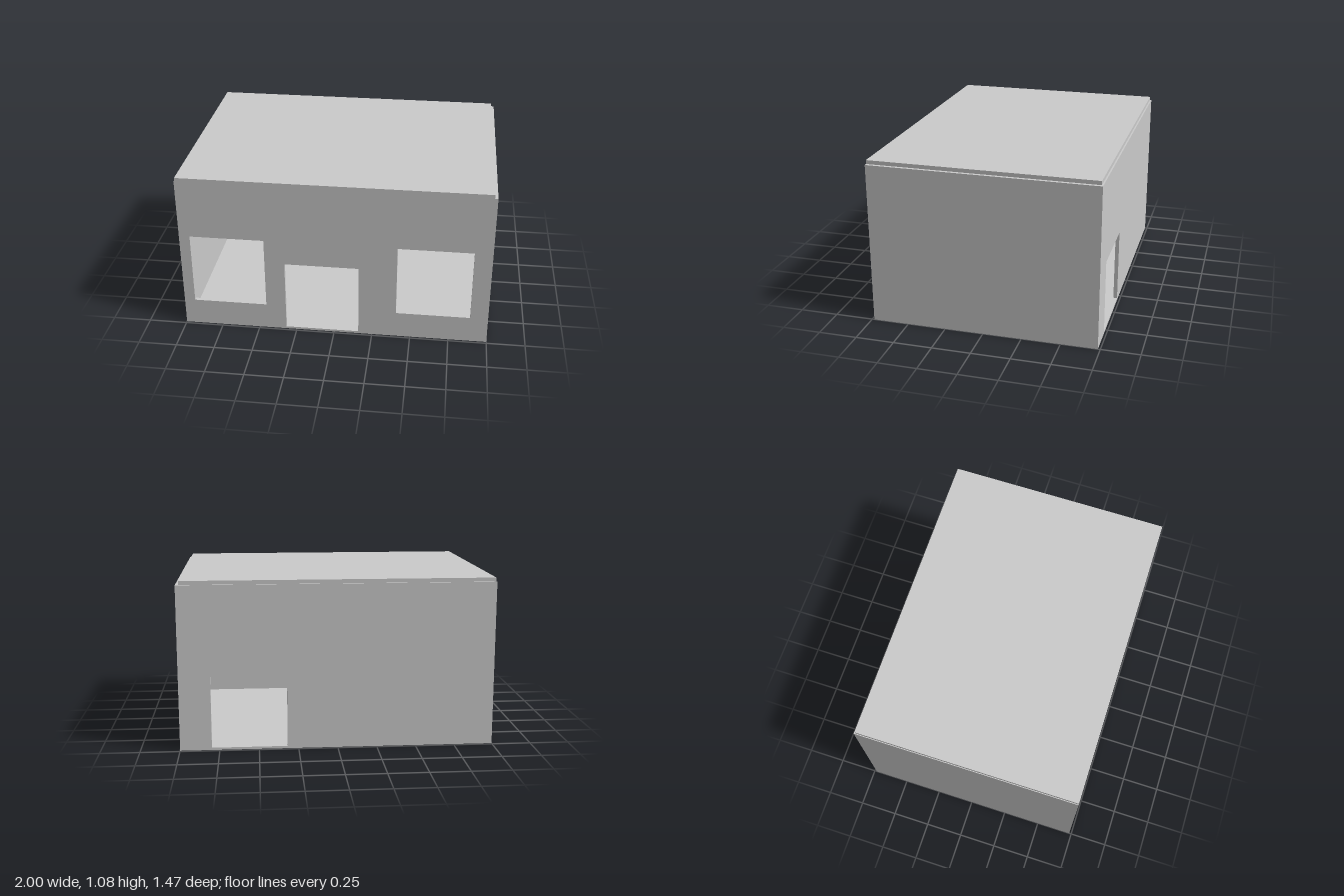
import * as THREE from 'three';

const W = 2, D = 1.47, H = 1.055, T = 0.025, FLOOR = 0.015;
const material = new THREE.MeshStandardMaterial({ color: 0xcccccc, flatShading: true });

// Adds vertices of an axis-aligned rectangle to a shape or path
function rect(path, x0, y0, x1, y1) {
  path.moveTo(x0, y0);
  path.lineTo(x1, y0);
  path.lineTo(x1, y1);
  path.lineTo(x0, y1);
  path.closePath();
  return path;
}

// Long wall with rectangular openings, its outer or inner face starting at z
function wallWithOpenings(name, z, openings) {
  const shape = rect(new THREE.Shape(), -W / 2, 0, W / 2, H);
  for (const o of openings) shape.holes.push(rect(new THREE.Path(), ...o));
  const geometry = new THREE.ExtrudeGeometry(shape, { depth: T, bevelEnabled: false });
  geometry.translate(0, 0, z);
  const mesh = new THREE.Mesh(geometry, material);
  mesh.name = name;
  return mesh;
}

// Box given by its minimum and maximum corners
function slab(name, min, max) {
  const size = max.map((v, i) => v - min[i]);
  const mesh = new THREE.Mesh(new THREE.BoxGeometry(...size), material);
  mesh.position.set(...max.map((v, i) => (v + min[i]) / 2));
  mesh.name = name;
  return mesh;
}

export function createModel() {
  const house = new THREE.Group();
  house.name = 'house';

  // Front wall: window, door, window
  house.add(wallWithOpenings('frontWall', D / 2 - T, [
    [-0.93, 0.18, -0.45, 0.665],
    [-0.32, FLOOR, 0.16, 0.5],
    [0.405, 0.18, 0.885, 0.665],
  ]));

  // Back wall with one door
  house.add(wallWithOpenings('backWall', -D / 2, [[0.32, FLOOR, 0.8, 0.495]]));

  // Side walls between the long walls
  const inner = D / 2 - T;
  house.add(slab('leftWall', [W / 2 - T, 0, -inner], [W / 2, H, inner]));
  house.add(slab('rightWall', [-W / 2, 0, -inner], [-W / 2 + T, H, inner]));

  // Floor inside the walls
  house.add(slab('floor', [-W / 2 + T, 0, -inner], [W / 2 - T, FLOOR, inner]));

  // Flat roof, set slightly off centre on the walls
  house.add(slab('roof', [-0.995, H, -0.725], [0.98, H + 0.025, D / 2]));

  return house;
}
